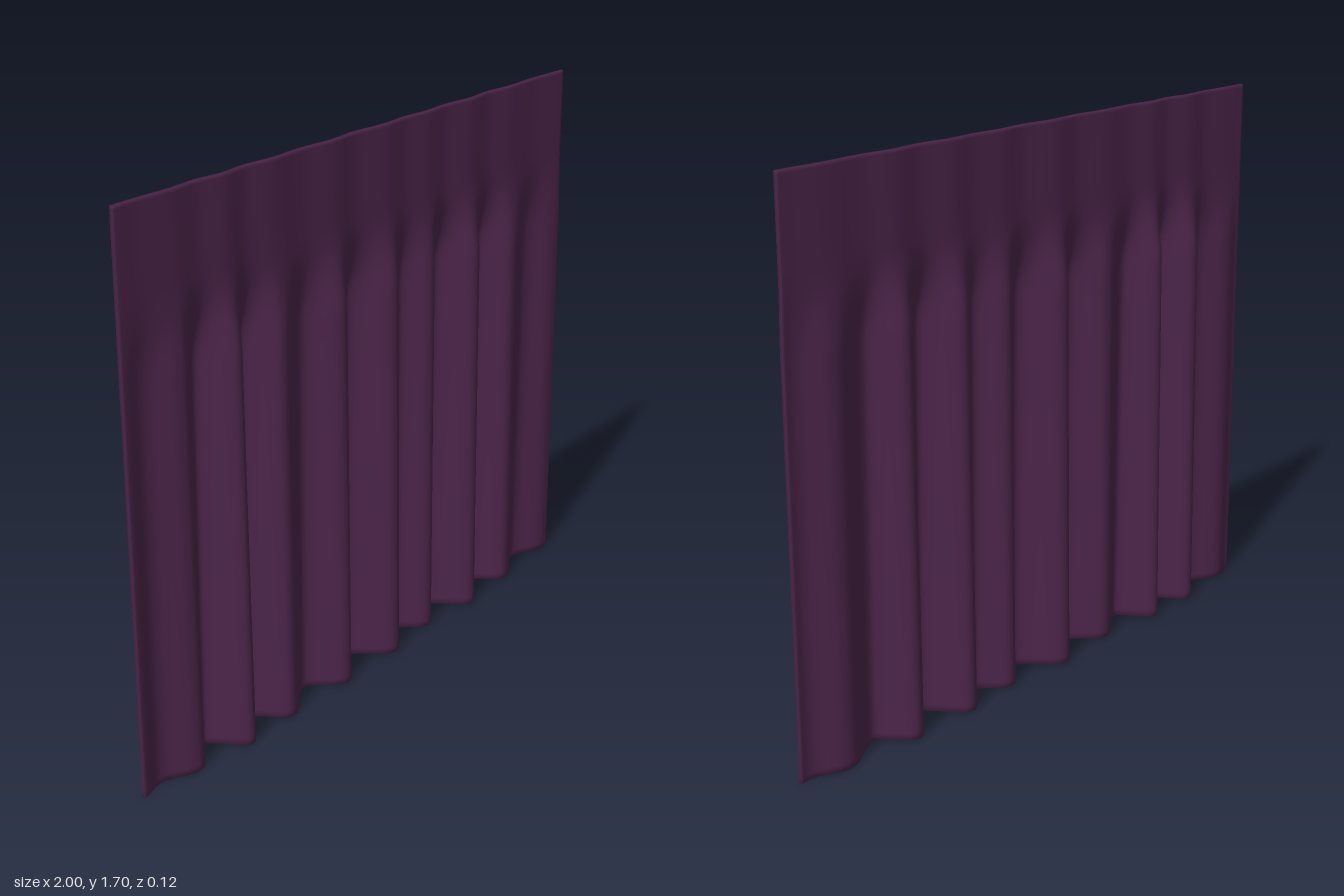
import * as THREE from 'three';
import { mergeVertices } from 'three/addons/utils/BufferGeometryUtils.js';

const WIDTH = 2, HEIGHT = 1.7, THICK = 0.01;

// Crest and trough of every pleat at the hem: [x, z]
const FOLDS = [
  [-1, 0], [-0.92, -0.018], [-0.8, 0.027], [-0.7, -0.056], [-0.605, 0.052],
  [-0.515, -0.056], [-0.42, 0.045], [-0.28, -0.033], [-0.165, 0.052],
  [-0.055, -0.056], [0.075, 0.052], [0.18, -0.036], [0.275, 0.031],
  [0.375, -0.056], [0.485, 0.054], [0.6, -0.055], [0.7, 0.038],
  [0.85, -0.03], [0.97, 0.012], [1, 0.009],
];

// Depth of the pleats, as a share of the hem, by height: [y, share]
const DEPTH = [[0, 1], [1.2, 0.75], [1.24, 0.7], [1.38, 0.16], [1.43, 0.09], [1.7, 0.08]];

// Heights of the cloth rows, closer together at hem, gather and top
const ROWS = [0, 0.02, 0.15, 0.4, 0.65, 0.9, 1.1, 1.16, 1.2, 1.24, 1.28,
  1.32, 1.36, 1.4, 1.44, 1.5, 1.6, 1.69, 1.7];

function sample(points, t, ease) {
  let i = 1;
  while (i < points.length - 1 && t > points[i][0]) i++;
  const [a, va] = points[i - 1], [b, vb] = points[i];
  const k = THREE.MathUtils.clamp((t - a) / (b - a), 0, 1);
  return va + (vb - va) * ease(k);
}
const wave = (x) => sample(FOLDS, x, (k) => (1 - Math.cos(Math.PI * k)) / 2);
const depth = (y) => sample(DEPTH, y, (k) => k);

export function createModel() {
  const group = new THREE.Group();
  group.name = 'curtain';

  const plumCloth = new THREE.MeshStandardMaterial({ color: 0x4c254a });
  plumCloth.name = 'plumCloth';

  // Thin slab bent into pleats; shared corners keep its edges soft
  const rows = ROWS.length - 1;
  let geo = new THREE.BoxGeometry(WIDTH, HEIGHT, THICK, 240, rows, 1);
  geo.deleteAttribute('uv');
  geo.deleteAttribute('normal');
  geo.clearGroups();
  geo = mergeVertices(geo, 1e-5);

  const pos = geo.attributes.position;
  for (let i = 0; i < pos.count; i++) {
    const x = pos.getX(i), side = pos.getZ(i);
    const y = ROWS[Math.round((pos.getY(i) / HEIGHT + 0.5) * rows)];
    const d = depth(y);
    const slope = d * (wave(x + 0.002) - wave(x - 0.002)) / 0.004;
    const len = Math.hypot(1, slope);
    // Offset each face along the fold's own normal
    const px = THREE.MathUtils.clamp(x - side * slope / len, -1, 1);
    pos.setXYZ(i, px, y, d * wave(x) + side / len);
  }
  geo.computeVertexNormals();

  const cloth = new THREE.Mesh(geo, plumCloth);
  cloth.name = 'pleatedCloth';
  group.add(cloth);
  return group;
}
